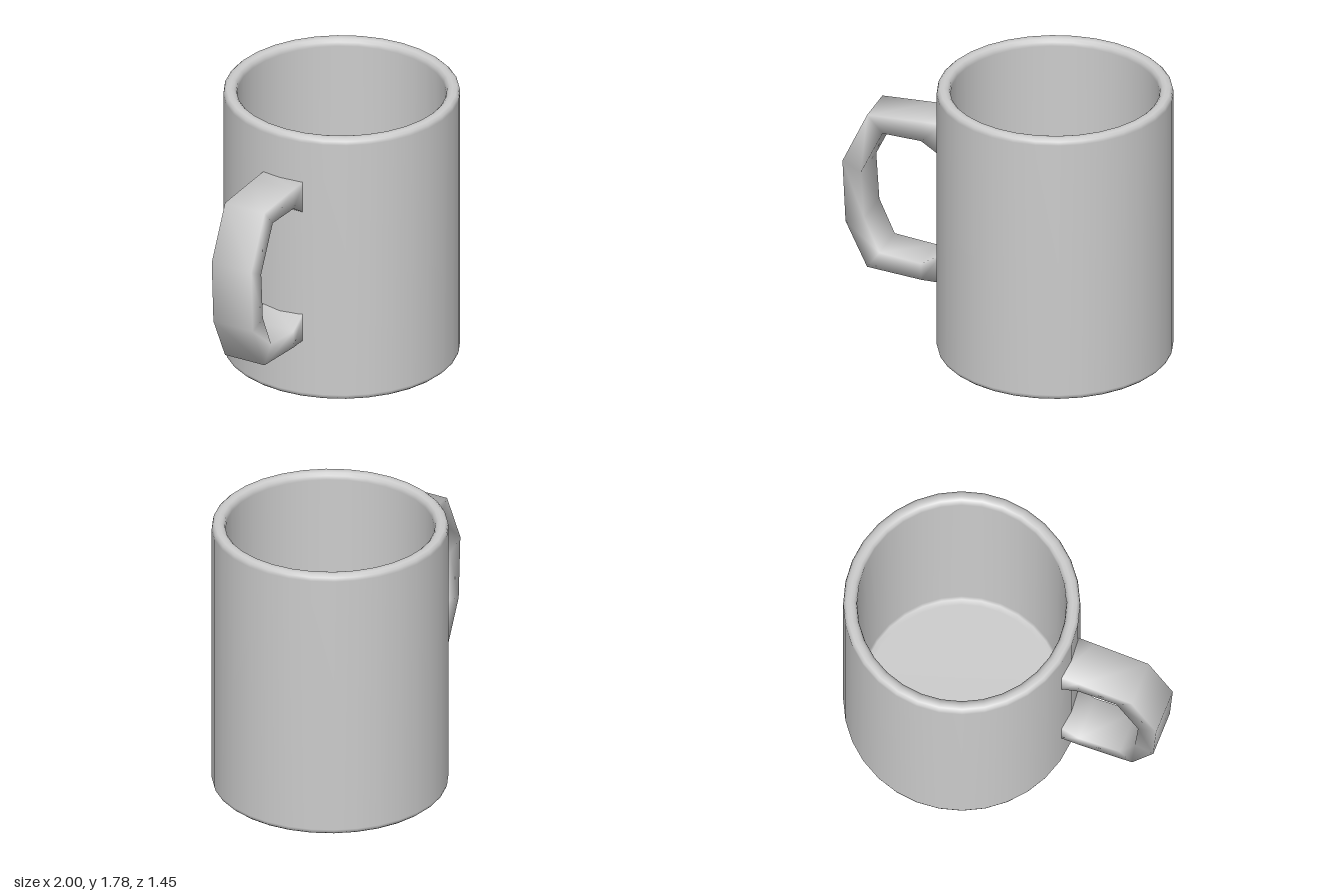
import * as THREE from 'three';

const material = new THREE.MeshStandardMaterial({ color: 0xcccccc });

// Hollow cup: base, wall, soft rim, inner wall and floor in one turned profile
function makeCup() {
  const profile = [
    [0, 0], [0.69, 0], [0.705, 0.002], [0.72, 0.015], [0.725, 0.035],
    [0.725, 1.745], [0.72, 1.768], [0.705, 1.782], [0.68, 1.785],
    [0.66, 1.78], [0.645, 1.765], [0.64, 1.74],
    [0.63, 0.14], [0.62, 0.11], [0.59, 0.1], [0, 0.1],
  ].map(([r, y]) => new THREE.Vector2(r, y));
  const cup = new THREE.Mesh(new THREE.LatheGeometry(profile, 32), material);
  cup.name = 'cup';
  return cup;
}

// Faceted strap handle: four-cornered sections swept from upper to lower root
function makeHandle() {
  const halfWidth = 0.14;
  // each row: outer radius, outer y, inner radius, inner y
  const sections = [
    [0.68, 1.475, 0.68, 1.25], [0.82, 1.472, 0.82, 1.34],
    [1.17, 1.46, 1.07, 1.35], [1.33, 1.12, 1.21, 1.06],
    [1.31, 0.71, 1.19, 0.75], [1.17, 0.42, 1.09, 0.53],
    [0.82, 0.39, 0.82, 0.5], [0.68, 0.39, 0.68, 0.59],
  ];
  const positions = [];
  const index = [];
  sections.forEach(([ro, yo, ri, yi], i) => {
    positions.push(ro, yo, halfWidth, ro, yo, -halfWidth, ri, yi, -halfWidth, ri, yi, halfWidth);
    if (i === sections.length - 1) return;
    for (let j = 0; j < 4; j++) {
      const a = i * 4 + j;
      const b = i * 4 + ((j + 1) % 4);
      index.push(a, b + 4, b, a, a + 4, b + 4);
    }
  });
  const geometry = new THREE.BufferGeometry();
  geometry.setAttribute('position', new THREE.Float32BufferAttribute(positions, 3));
  geometry.setIndex(index);
  geometry.computeVertexNormals();
  const handle = new THREE.Mesh(geometry, material);
  handle.name = 'handle';
  handle.rotation.y = Math.PI + 0.414; // points right and a little forward
  return handle;
}

export function createModel() {
  const mug = new THREE.Group();
  mug.name = 'mug';
  mug.add(makeCup(), makeHandle());
  mug.position.x = 0.275;
  const model = new THREE.Group();
  model.add(mug);
  return model;
}
